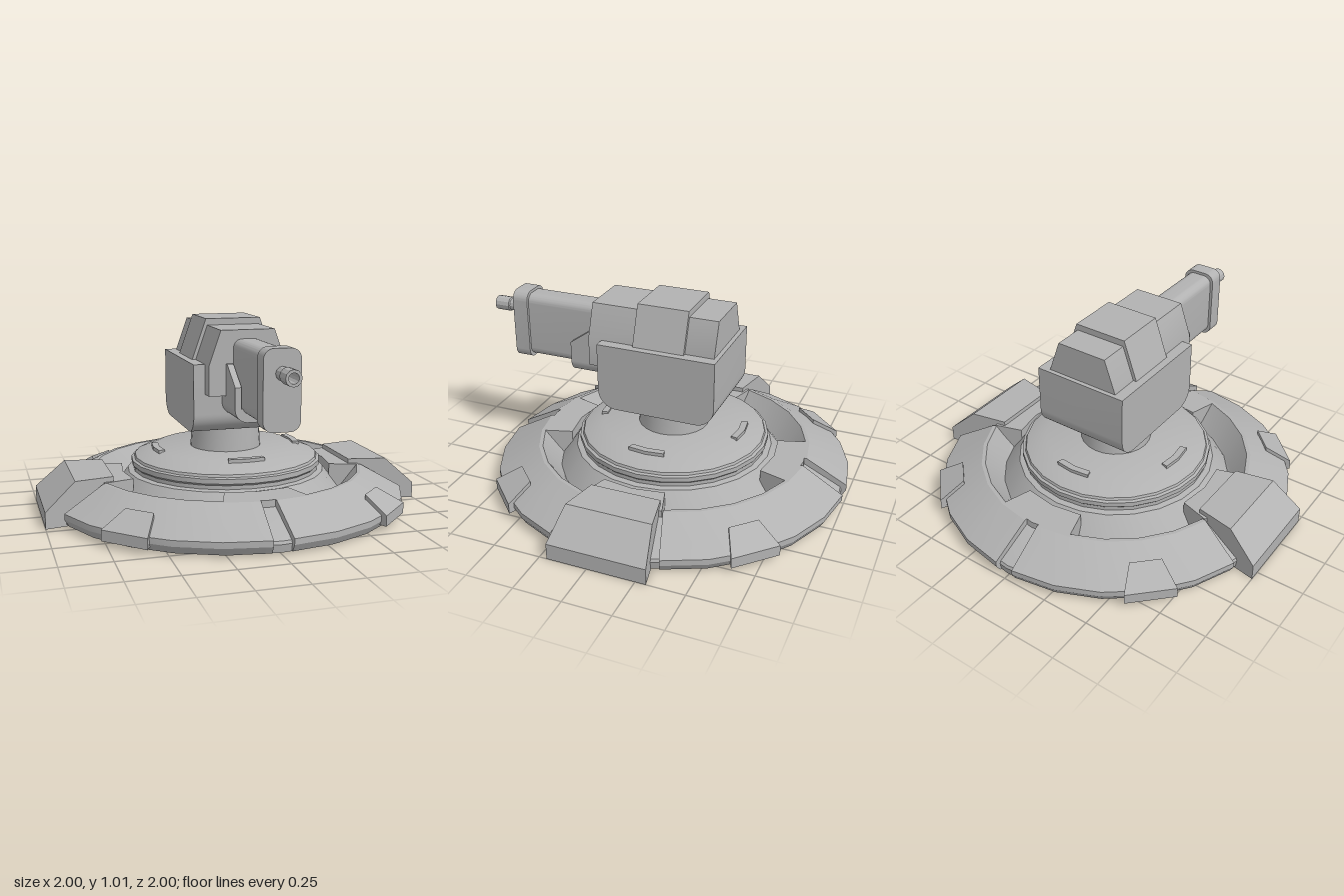
import * as THREE from 'three';
import { toCreasedNormals } from 'three/addons/utils/BufferGeometryUtils.js';

const metal = new THREE.MeshStandardMaterial({ color: 0xb2b2b2 });
metal.name = 'grey metal';
const metalOpen = metal;
metalOpen.side = THREE.DoubleSide;

const rad = THREE.MathUtils.degToRad;
const vecs = pts => pts.map(p => new THREE.Vector2(...p));

function add(parent, name, geo) {
  const mesh = new THREE.Mesh(toCreasedNormals(geo, 0.5), metal);
  mesh.name = name;
  parent.add(mesh);
  return mesh;
}

// Closed (radius, height) profile swept between two angles, with end caps
function addSector(parent, name, profile, from, to, segments) {
  const group = new THREE.Group();
  group.name = name;
  parent.add(group);
  const closed = [...profile, profile[0]];
  add(group, name + 'Shell', new THREE.LatheGeometry(vecs(closed), segments, rad(from), rad(to - from)));
  for (const angle of [from, to]) {
    const cap = add(group, name + 'End', new THREE.ShapeGeometry(new THREE.Shape(vecs(profile))));
    cap.rotation.y = rad(angle - 90);
  }
}

// Profile in (radius, height) whose half width runs from w0 at r0 to w1 at r1
function taperedBlock(profile, r0, w0, r1, w1) {
  const geo = new THREE.ExtrudeGeometry(new THREE.Shape(vecs(profile)), { depth: 2, bevelEnabled: false });
  geo.translate(0, 0, -1);
  const p = geo.attributes.position;
  for (let i = 0; i < p.count; i++) {
    const t = (p.getX(i) - r0) / (r1 - r0);
    p.setZ(i, p.getZ(i) * (w0 + t * (w1 - w0)));
  }
  return geo;
}

// Shape in (x, y) extruded from z0 to z1
function alongZ(shape, z0, z1) {
  return new THREE.ExtrudeGeometry(shape, { depth: z1 - z0, bevelEnabled: false, curveSegments: 6 })
    .translate(0, 0, z0);
}

// Shape in (z, y) extruded from x0 to x1
function alongX(shape, x0, x1) {
  return new THREE.ExtrudeGeometry(shape, { depth: x1 - x0, bevelEnabled: false, curveSegments: 6 })
    .rotateY(-Math.PI / 2).translate(x1, 0, 0);
}

// Rectangle with separate radii for the bottom and top corners
function roundedRect(x0, x1, y0, y1, rb, rt) {
  const s = new THREE.Shape();
  s.moveTo(x0 + rb, y0);
  s.lineTo(x1 - rb, y0);
  if (rb) s.absarc(x1 - rb, y0 + rb, rb, -Math.PI / 2, 0);
  s.lineTo(x1, y1 - rt);
  if (rt) s.absarc(x1 - rt, y1 - rt, rt, 0, Math.PI / 2);
  s.lineTo(x0 + rt, y1);
  if (rt) s.absarc(x0 + rt, y1 - rt, rt, Math.PI / 2, Math.PI);
  s.lineTo(x0, y0 + rb);
  if (rb) s.absarc(x0 + rb, y0 + rb, rb, Math.PI, Math.PI * 1.5);
  return s;
}

function buildBase() {
  const base = new THREE.Group();
  base.name = 'base';
  base.position.z = -0.047;

  // Dished core with the stepped central mound
  add(base, 'baseCore', new THREE.LatheGeometry(vecs([
    [0, 0.01], [0.62, 0.01], [0.925, 0.01], [0.932, 0.05], [0.925, 0.065], [0.73, 0.165], [0.7, 0.165],
    [0.62, 0.07], [0.53, 0.19], [0.5, 0.195], [0.5, 0.215], [0.51, 0.225], [0.51, 0.25],
    [0.495, 0.255], [0.49, 0.268], [0.38, 0.312], [0, 0.312],
  ]), 24));

  // Raised armour ring, split by grooves and the side feet
  const ring = [[0.64, 0.03], [0.93, 0.012], [0.953, 0.05], [0.953, 0.08], [0.735, 0.2], [0.715, 0.2], [0.62, 0.07]];
  for (const start of [3, 107.4, 183, 287.4]) addSector(base, 'ringSegment', ring, start, start + 69.6, 5);

  for (let i = 0; i < 4; i++) {
    const angle = i * 90;
    // Blocks on the inside of the ring
    addSector(base, 'innerBlock', [[0.565, 0.06], [0.73, 0.06], [0.725, 0.2], [0.565, 0.2]],
      angle - 17, angle + 17, 2);
    // Low clips on the mound
    addSector(base, 'moundClip', [[0.365, 0.29], [0.4, 0.29], [0.4, 0.322], [0.365, 0.322]],
      angle - 14, angle + 14, 2);
    // Wedge tabs over the rim
    const tab = add(base, 'rimTab', taperedBlock(
      [[0.836, 0.03], [0.968, 0.03], [0.968, 0.085], [0.836, 0.162]], 0.836, 0.08, 0.968, 0.13));
    tab.rotation.y = rad(angle + 45);
  }

  // Large side feet
  for (const turn of [0, Math.PI]) {
    const foot = add(base, 'sideFoot', taperedBlock(
      [[0.645, 0], [1, 0], [1, 0.085], [0.845, 0.225], [0.645, 0.225]], 0.645, 0.185, 1, 0.258));
    foot.rotation.y = turn;
  }

  const neck = add(base, 'neck', new THREE.CylinderGeometry(0.178, 0.19, 0.16, 24));
  neck.position.y = 0.385;
  return base;
}

function buildTurret() {
  const turret = new THREE.Group();
  turret.name = 'turret';

  // Yoke block with rounded lower edges
  add(turret, 'yoke', alongX(roundedRect(-0.358, 0.278, 0.445, 0.8, 0.1, 0), -0.258, 0.258));

  // Gun body and the hood strapped over it
  add(turret, 'gunBody', alongZ(new THREE.Shape(vecs([
    [-0.2, 0.65], [0.2, 0.65], [0.2, 0.8], [0.138, 0.975], [-0.138, 0.975], [-0.2, 0.8],
  ])), -0.335, 0.352));
  add(turret, 'hood', alongZ(new THREE.Shape(vecs([
    [-0.222, 0.79], [0.222, 0.79], [0.145, 1.008], [-0.145, 1.008],
  ])), -0.18, 0.097));

  // Barrel housing and its collar
  add(turret, 'barrelHousing', alongZ(roundedRect(-0.075, 0.075, 0.58, 0.93, 0.045, 0.045), 0.3, 0.79));
  add(turret, 'barrelCollar', alongZ(roundedRect(-0.09, 0.09, 0.565, 0.945, 0.05, 0.05), 0.77, 0.855));

  // Cradle under the housing
  add(turret, 'cradleFloor', alongZ(roundedRect(-0.112, 0.112, 0.542, 0.61, 0.065, 0), 0.25, 0.505));
  for (const side of [-1, 1]) {
    const plate = new THREE.Shape(vecs([[0.25, 0.605], [0.505, 0.605], [0.505, 0.715], [0.37, 0.81], [0.25, 0.81]]));
    const x = side * 0.096;
    add(turret, 'cradlePlate', alongX(plate, x - 0.016, x + 0.016));
  }

  // Hollow muzzle
  const muzzle = add(turret, 'muzzle', new THREE.LatheGeometry(vecs([
    [0.033, 0], [0.033, 0.07], [0.039, 0.075], [0.039, 0.155], [0.025, 0.155], [0.025, 0.03], [0, 0.03],
  ]), 12));
  muzzle.rotation.x = Math.PI / 2;
  muzzle.position.set(0, 0.832, 0.845);
  return turret;
}

export function createModel() {
  const model = new THREE.Group();
  model.name = 'gunTurret';
  model.add(buildBase(), buildTurret());
  return model;
}
